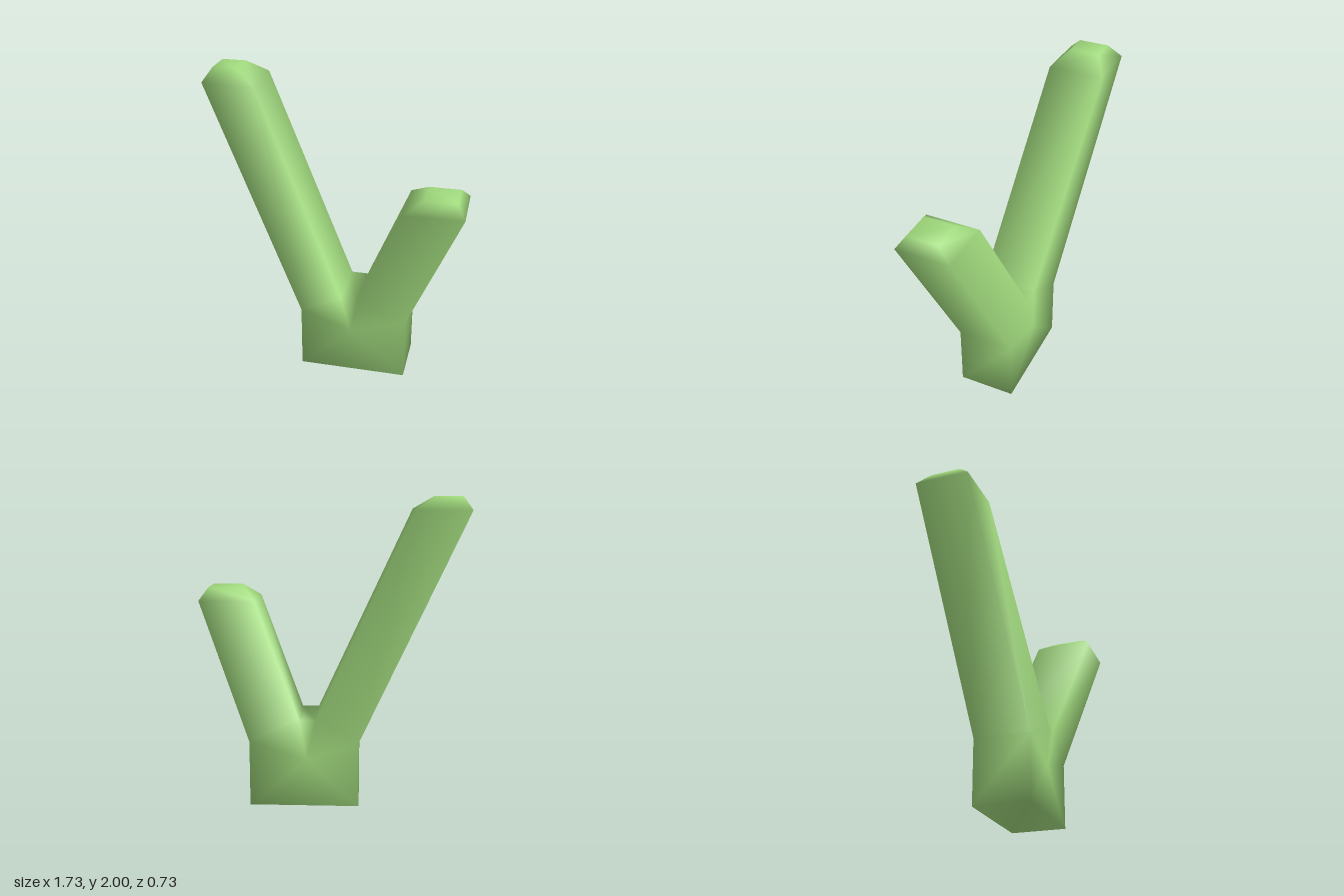
import * as THREE from 'three';

// Outline of the forked stem, clockwise from the front: [x, y, front z, back z]
const OUTLINE = [
  [-0.20, 0.00, 0.16, -0.21],  // 0 base, right side
  [-0.20, 0.43, 0.16, -0.21],  // 1
  [-0.87, 1.92, -0.01, -0.365], // 2 tall arm tip
  [-0.82, 2.00, -0.09, -0.28], // 3
  [-0.66, 2.00, -0.09, -0.28], // 4
  [-0.53, 1.92, 0.00, -0.355], // 5
  [0.08, 0.57, 0.19, -0.18],   // 6 crotch
  [0.19, 0.57, 0.19, -0.18],   // 7
  [0.49, 1.32, 0.365, 0.00],   // 8 short arm tip
  [0.61, 1.40, 0.31, 0.10],    // 9
  [0.81, 1.40, 0.31, 0.10],    // 10
  [0.86, 1.32, 0.365, 0.00],   // 11
  [0.51, 0.43, 0.16, -0.21],   // 12 base, left side
  [0.51, 0.00, 0.16, -0.21],   // 13
];
const HUB = [0.14, 0.31, 0.16, -0.205]; // middle of the trunk face

export function createModel() {
  const points = [...OUTLINE, HUB];
  const n = OUTLINE.length;
  const back = points.length;
  const hub = n;
  const positions = [];
  for (const [x, y, z] of points) positions.push(x, y, z);
  for (const [x, y, , z] of points) positions.push(x, y, z);

  const index = [];
  // A clockwise outline triangle becomes one front and one back face
  const bothSides = (a, b, c) => index.push(a, c, b, back + a, back + b, back + c);
  const quad = (a, b, c, d) => { bothSides(a, b, c); bothSides(a, c, d); };

  // Arms and their bevelled caps
  quad(1, 2, 5, 6);
  quad(2, 3, 4, 5);
  quad(7, 8, 11, 12);
  quad(8, 9, 10, 11);

  // Trunk, fanned around its hub
  const trunk = [0, 1, 6, 7, 12, 13];
  trunk.forEach((p, i) => bothSides(hub, p, trunk[(i + 1) % trunk.length]));

  // Wall joining front and back all the way round, underside included
  for (let i = 0; i < n; i++) {
    const j = (i + 1) % n;
    index.push(i, j, back + i, j, back + j, back + i);
  }

  const geometry = new THREE.BufferGeometry();
  geometry.setAttribute('position', new THREE.Float32BufferAttribute(positions, 3));
  geometry.setIndex(index);
  geometry.computeVertexNormals();

  const leafGreen = new THREE.MeshStandardMaterial({ color: 0xa3dd7f });
  leafGreen.name = 'leafGreen';
  const stem = new THREE.Mesh(geometry, leafGreen);
  stem.name = 'forkedStem';

  const group = new THREE.Group();
  group.name = 'forkedPlant';
  group.add(stem);
  return group;
}
